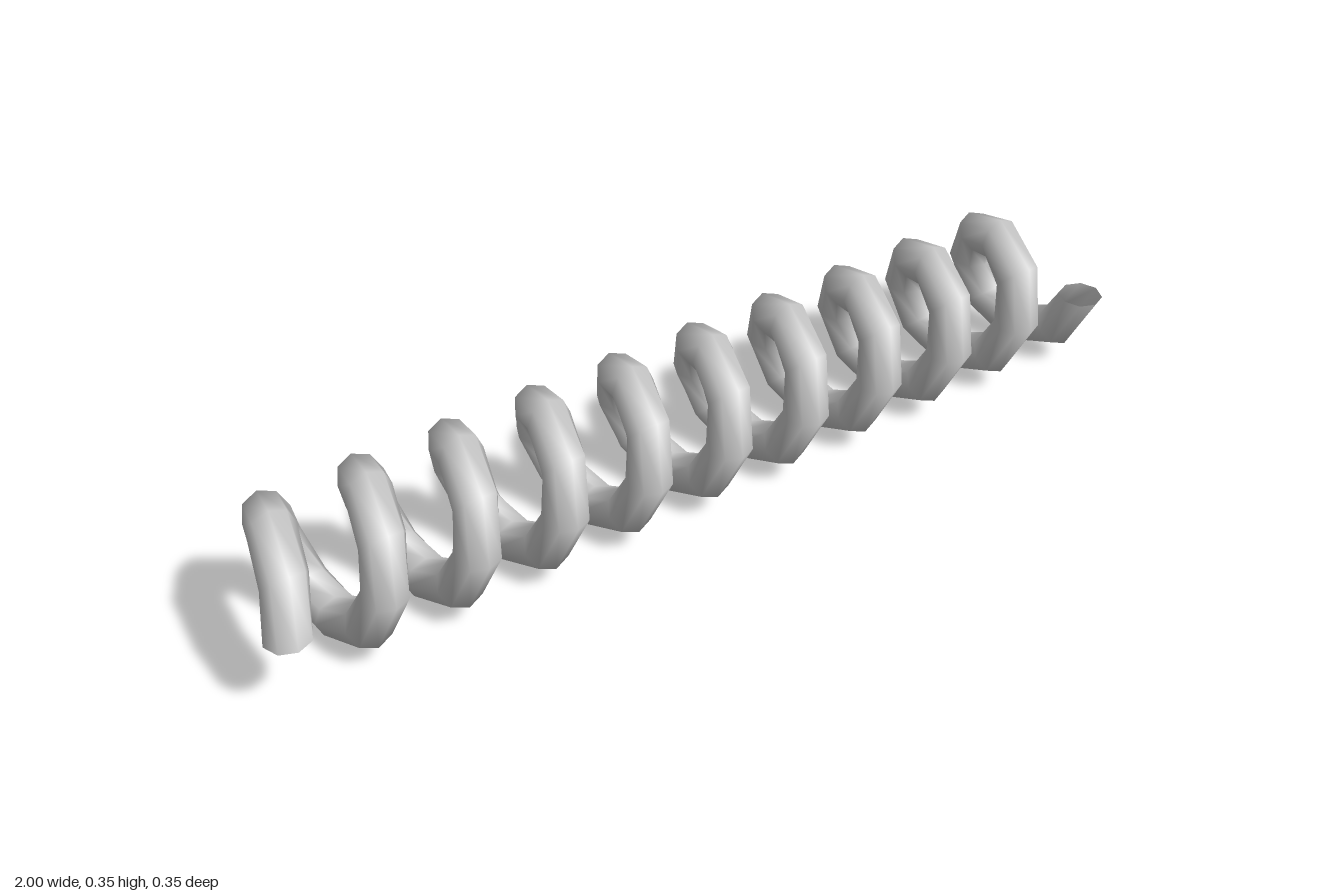
import * as THREE from 'three';

const TURNS = 10, STEPS = 8, SIDES = 8; // coil turns, steps per turn, sides of the wire
const WIRE = 0.0475, COIL = 0.1295;     // wire radius, coil centre-line radius
const LENGTH = 2 - 2 * WIRE;            // travel of the wire centre along x

// Sweep a circle lying in the xz plane around the x axis while it advances along x
function coilGeometry() {
  const positions = [], indices = [];
  const rings = TURNS * STEPS;
  for (let i = 0; i <= rings; i++) {
    const turn = (i / STEPS) * Math.PI * 2;
    const x = -LENGTH / 2 + (LENGTH * i) / rings;
    for (let j = 0; j < SIDES; j++) {
      const a = (j / SIDES) * Math.PI * 2;
      const r = COIL + WIRE * Math.cos(a);
      positions.push(x + WIRE * Math.sin(a), COIL + WIRE + r * Math.sin(turn), r * Math.cos(turn));
      if (i === rings) continue;
      const p = i * SIDES + j, q = i * SIDES + ((j + 1) % SIDES);
      indices.push(p, q, p + SIDES, q, q + SIDES, p + SIDES);
    }
  }
  const geometry = new THREE.BufferGeometry();
  geometry.setAttribute('position', new THREE.Float32BufferAttribute(positions, 3));
  geometry.setIndex(indices);
  geometry.computeVertexNormals();
  return geometry;
}

export function createModel() {
  const group = new THREE.Group();
  group.name = 'spring';
  // Hollow wire, open at both ends
  const material = new THREE.MeshStandardMaterial({ color: 0xcccccc, side: THREE.DoubleSide });
  const coil = new THREE.Mesh(coilGeometry(), material);
  coil.name = 'coil';
  group.add(coil);
  return group;
}
